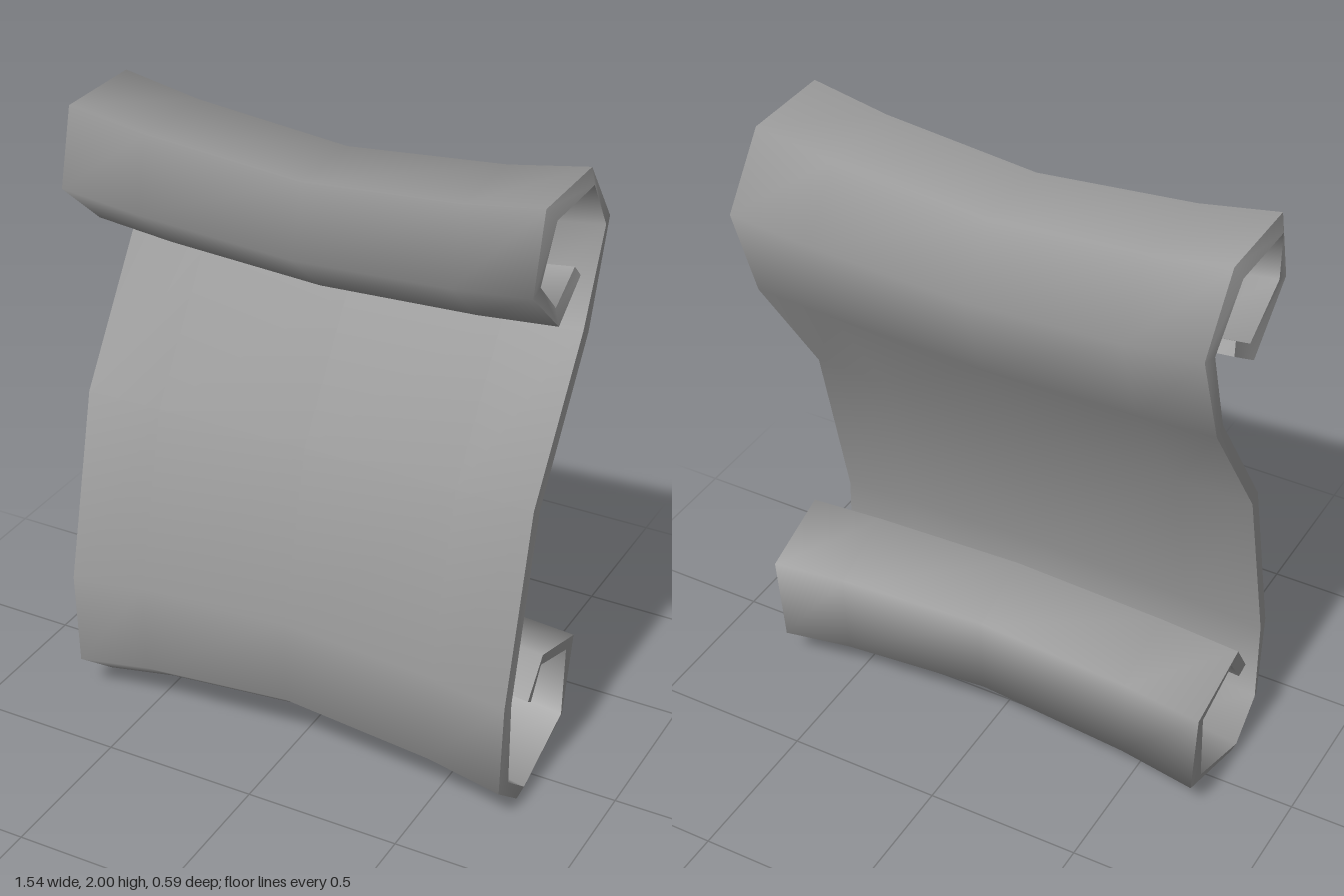
import * as THREE from 'three';

// Back face of the sheet at its side edges, as [z, y], from upper tip to lower tip
const PROFILE = [
  [-0.1, 1.688], [0.04, 1.59], [0.23, 1.76], [0.17, 2.0], [-0.14, 2.0],
  [-0.297, 1.79], [-0.185, 1.47], [0.11, 1.03],
  [0.253, 0.44], [0.25, 0.152], [0.125, 0.05], [-0.145, 0.148],
  [-0.155, 0.385], [0.04, 0.45], [0.105, 0.355],
];
const CREASE = 3; // sharp fold along the top front edge of the upper roll
// Cross-sections: x, pinch towards the centre line, slope of the pinch
const SECTIONS = [
  [-0.75, 1, -0.42], [-0.5, 0.957, -0.13], [0, 0.912, 0], [0.5, 0.957, 0.13], [0.75, 1, 0.42],
];
const THICKNESS = 0.042;

// Mitred offset direction (left of travel) at profile point i
function mitre(i) {
  const normal = (a, b) => new THREE.Vector2(a[1] - b[1], b[0] - a[0]).normalize();
  const p = PROFILE[i], prev = PROFILE[i - 1], next = PROFILE[i + 1];
  if (!prev) return normal(p, next);
  if (!next) return normal(prev, p);
  const n1 = normal(prev, p);
  const sum = n1.clone().add(normal(p, next)).normalize();
  return sum.divideScalar(sum.dot(n1));
}

// Smooth surface through a grid of points (rows of Vector3)
function surface(name, rows, material) {
  const cols = rows[0].length, index = [];
  for (let i = 0; i < rows.length - 1; i++) {
    for (let j = 0; j < cols - 1; j++) {
      const a = i * cols + j, b = a + cols;
      index.push(a, b, a + 1, b, b + 1, a + 1);
    }
  }
  const geometry = new THREE.BufferGeometry().setFromPoints(rows.flat());
  geometry.setIndex(index);
  geometry.computeVertexNormals();
  const mesh = new THREE.Mesh(geometry, material);
  mesh.name = name;
  return mesh;
}

export function createModel() {
  const group = new THREE.Group();
  group.name = 'scroll';
  const material = new THREE.MeshStandardMaterial({ color: 0x999999, side: THREE.DoubleSide });

  // Both faces of the sheet, pinched towards the middle
  const back = PROFILE.map(([z, y]) =>
    SECTIONS.map(([x, s]) => new THREE.Vector3(x, 1 + (y - 1) * s, z * s)));
  const front = PROFILE.map(([z, y], i) => {
    const m = mitre(i).multiplyScalar(THICKNESS);
    return SECTIONS.map(([, s, slope], j) => {
      const lean = -slope * (m.x * z + m.y * (y - 1));
      return back[i][j].clone().add(new THREE.Vector3(lean, m.y * s, m.x * s));
    });
  });
  const backOut = back.map((row) => [...row].reverse());
  const last = PROFILE.length - 1, side = SECTIONS.length - 1;

  group.add(
    surface('sheetFront', front, material),
    surface('upperRollFront', backOut.slice(0, CREASE + 1), material),
    surface('sheetBack', backOut.slice(CREASE), material),
    // Thin rims closing the sheet
    surface('leftRim', back.map((row, i) => [front[i][side], row[side]]), material),
    surface('rightRim', back.map((row, i) => [row[0], front[i][0]]), material),
    surface('upperTip', [back[0], front[0]], material),
    surface('lowerTip', [front[last], back[last]], material),
  );
  return group;
}
